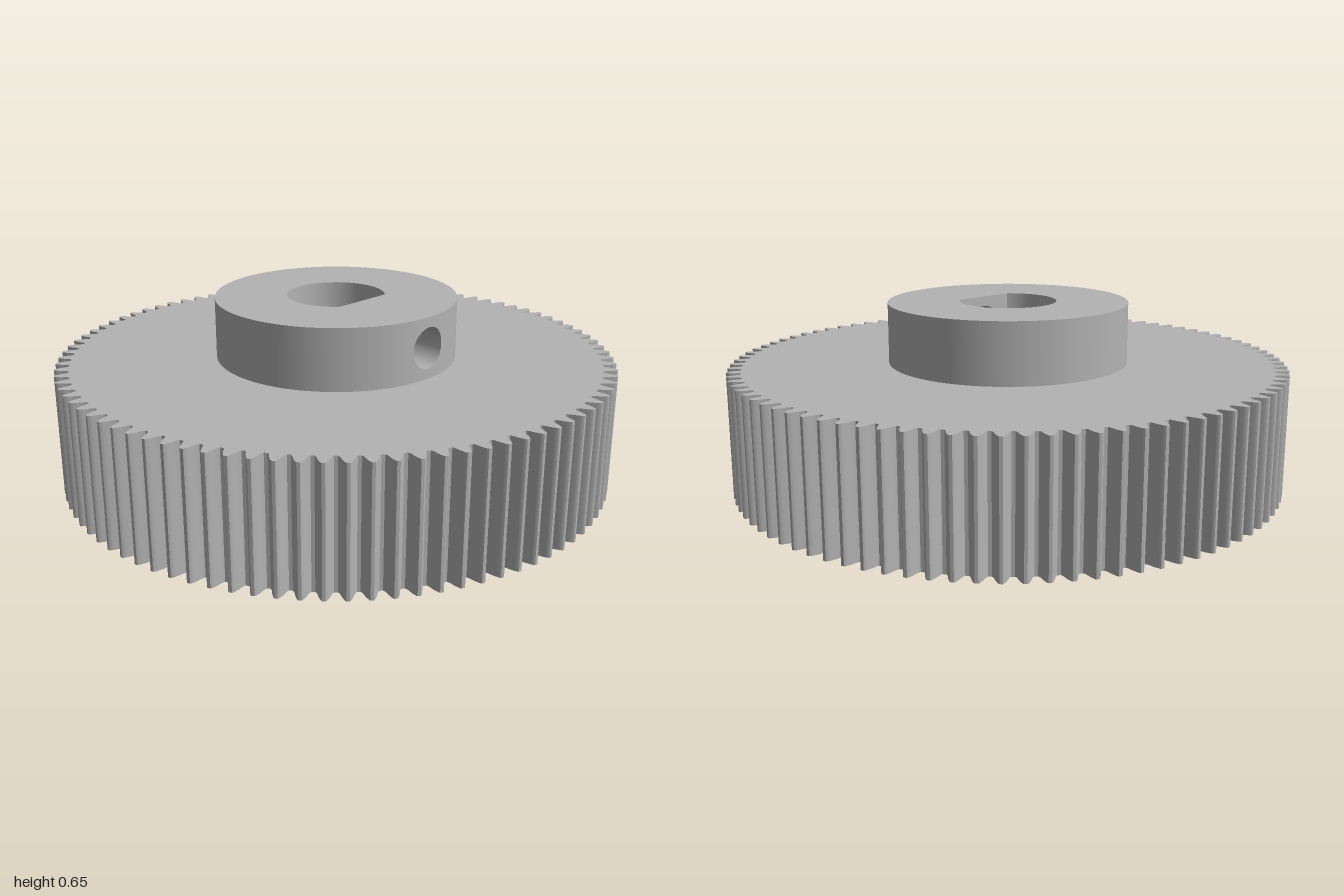
import * as THREE from 'three';
import { toCreasedNormals } from 'three/addons/utils/BufferGeometryUtils.js';
import { ParametricGeometry } from 'three/addons/geometries/ParametricGeometry.js';

const TEETH = 90;
const GEAR_TOP = 0.435, HUB_TOP = 0.652, HUB_R = 0.433;
const BORE_R = 0.175, FLAT_X = 0.13;
const BORE_A = Math.acos(FLAT_X / BORE_R); // angle where the flat meets the round bore
const SCREW_R = 0.073, MID_Y = (GEAR_TOP + HUB_TOP) / 2, HALF = (HUB_TOP - GEAR_TOP) / 2;

// D-shaped bore outline; closing the arc makes the flat
function borePath() {
  const path = new THREE.Path();
  path.absarc(0, 0, BORE_R, BORE_A, 2 * Math.PI - BORE_A, false);
  path.closePath();
  return path;
}

// Gear outline: one tooth profile [radius, half width] repeated around the rim
function gearShape() {
  const flank = [[0.95, 0.0275], [0.957, 0.0225], [0.978, 0.0165], [0.99, 0.0115], [0.998, 0.0075], [1, 0.005]];
  const tooth = [
    ...flank.map(([r, w]) => [r, -w]),
    ...[...flank].reverse(),
  ];
  const points = [];
  for (let i = 0; i < TEETH; i++) {
    for (const [r, w] of tooth) {
      const a = (i / TEETH) * Math.PI * 2 + w / r;
      points.push(new THREE.Vector2(r * Math.cos(a), r * Math.sin(a)));
    }
  }
  const shape = new THREE.Shape(points);
  shape.holes.push(borePath());
  return shape;
}

export function createModel() {
  const group = new THREE.Group();
  const metal = new THREE.MeshStandardMaterial({ color: 0xb3b3b3 });
  metal.name = 'grey metal';
  const add = (name, geometry) => {
    const mesh = new THREE.Mesh(geometry, metal);
    mesh.name = name;
    group.add(mesh);
    return mesh;
  };
  const sheet = (fn, slices, stacks) =>
    new ParametricGeometry((u, v, p) => p.set(...fn(u, v)), slices, stacks);
  const onHub = (z) => Math.sqrt(HUB_R * HUB_R - z * z);

  // Toothed wheel with the bore through it
  const wheel = new THREE.ExtrudeGeometry(gearShape(), { depth: GEAR_TOP, bevelEnabled: false, curveSegments: 64 });
  wheel.rotateX(-Math.PI / 2);
  add('gearWheel', toCreasedNormals(wheel, 0.5));

  // Hub top face
  const ring = new THREE.Shape().absarc(0, 0, HUB_R, 0, Math.PI * 2, false);
  ring.holes.push(borePath());
  add('hubTop', new THREE.ShapeGeometry(ring, 96).rotateX(-Math.PI / 2)).position.y = HUB_TOP;

  // Hub outer wall, leaving a window for the set screw patch
  const a = Math.asin(HALF / HUB_R);
  add('hubWall', new THREE.CylinderGeometry(HUB_R, HUB_R, HALF * 2, 96, 1, true,
    Math.PI / 2 + a, Math.PI * 2 - 2 * a)).position.y = MID_Y;

  // Curved patch running from the round screw hole to the square window
  add('screwHoleSurround', sheet((u, v) => {
    const c = Math.cos(u * Math.PI * 2), s = Math.sin(u * Math.PI * 2);
    const k = THREE.MathUtils.lerp(SCREW_R, HALF / Math.max(Math.abs(c), Math.abs(s)), v);
    return [onHub(k * c), MID_Y + k * s, k * c];
  }, 48, 4));

  // Set screw hole from the bore flat to the hub wall
  add('screwHole', sheet((u, v) => {
    const z = SCREW_R * Math.cos(u * Math.PI * 2);
    return [THREE.MathUtils.lerp(FLAT_X, onHub(z), v), MID_Y + SCREW_R * Math.sin(u * Math.PI * 2), z];
  }, 48, 1));

  // Round part of the bore inside the hub
  add('hubBore', sheet((u, v) => {
    const t = THREE.MathUtils.lerp(BORE_A, Math.PI * 2 - BORE_A, u);
    return [BORE_R * Math.cos(t), THREE.MathUtils.lerp(GEAR_TOP, HUB_TOP, v), BORE_R * Math.sin(t)];
  }, 64, 1));

  // Flat of the bore, pierced by the screw hole
  const w = BORE_R * Math.sin(BORE_A);
  const flat = new THREE.Shape([[-w, -HALF], [w, -HALF], [w, HALF], [-w, HALF]].map((p) => new THREE.Vector2(...p)));
  flat.holes.push(new THREE.Path().absarc(0, 0, SCREW_R, 0, Math.PI * 2, true));
  add('boreFlat', new THREE.ShapeGeometry(flat, 48).rotateY(-Math.PI / 2)).position.set(FLAT_X, MID_Y, 0);

  return group;
}
